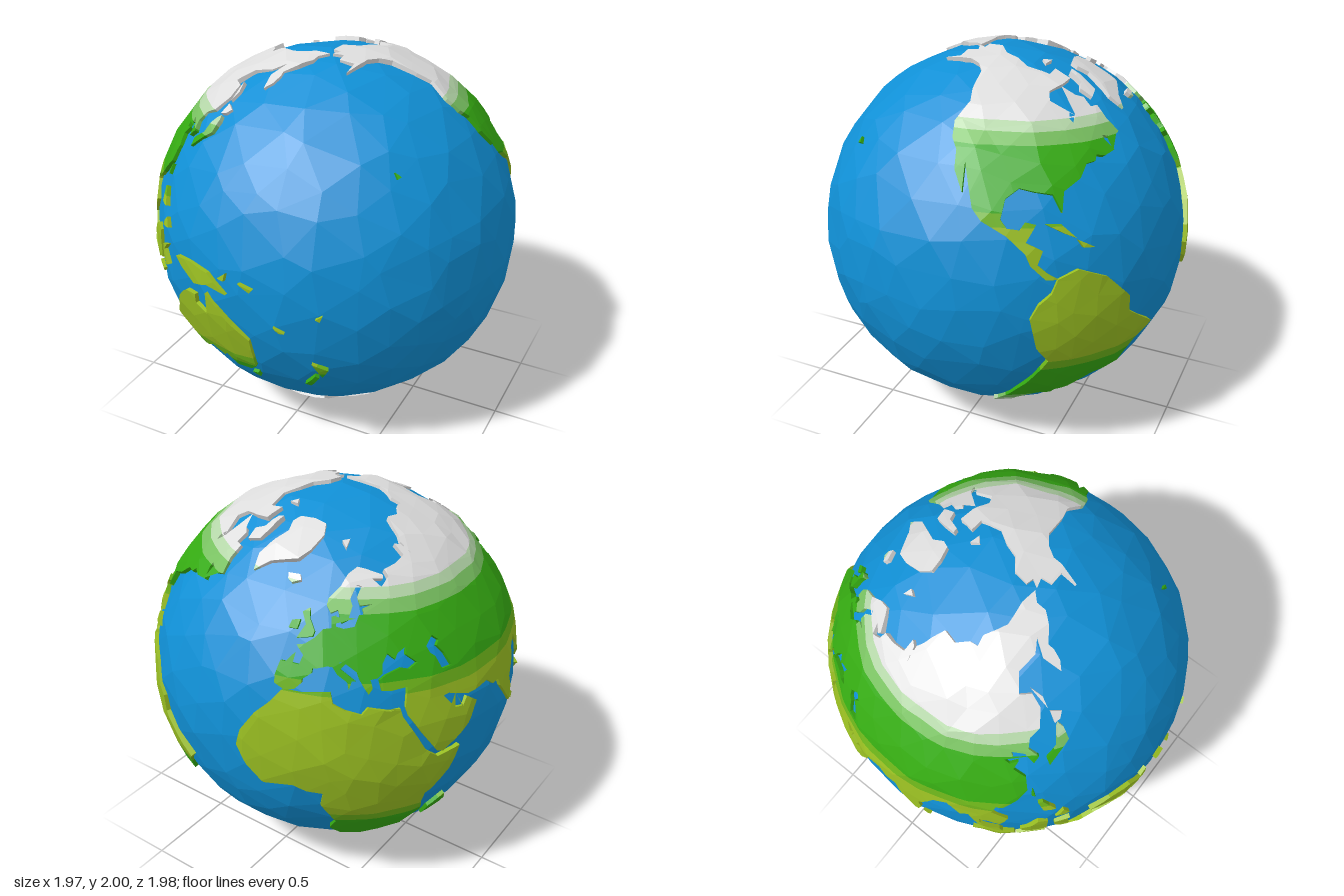
import * as THREE from 'three';

const V = (x, y, z) => new THREE.Vector3(x, y, z);
const mat = (name, color) => Object.assign(new THREE.MeshStandardMaterial({ color }), { name });
const ocean = mat('ocean blue', 0x1090d6);
const snow = mat('snow white', 0xdedede), frost = mat('frost green', 0xb4d6a8), pale = mat('pale green', 0x78c060);
const green = mat('meadow green', 0x35aa12), olive = mat('mid green', 0x6db41a), lime = mat('lime green', 0x9abf22);

// Colour bands by height, mirrored to the south
const landMats = [snow, frost, pale, green, olive, lime];
const edges = [-2, -0.77, -0.73, -0.68, -0.42, -0.36, 0.36, 0.42, 0.68, 0.73, 0.77, 2];
const bandAxis = V(-0.07, 1, 0);

// Tilted globe axes: pole, reference meridian (142.5 east) and its east
const pole = V(-0.2, 0.955, -0.22).normalize();
const east = pole.clone().cross(V(-0.277, 0.161, 0.945)).normalize();
const meridian = east.clone().cross(pole);
const rad = Math.PI / 180;
function direction(lon, lat) {
  const a = (lon - 142.5) * rad, c = Math.cos(lat * rad);
  return V(0, 0, 0).addScaledVector(pole, Math.sin(lat * rad))
    .addScaledVector(meridian, c * Math.cos(a)).addScaledVector(east, c * Math.sin(a));
}

// Coastlines as longitude, latitude pairs
const lands = {
  europe: [41.5, 42, 38, 45, 39, 47, 35, 46, 33.5, 44.5, 31, 46.5, 28.5, 44, 28, 41.5, 26, 40.5, 23.5, 40.3, 24, 38, 22.5, 36.5,
    21, 38.5, 19.5, 41, 19, 42.5, 14, 45.3, 12.5, 45.3, 13, 43.5, 16, 41.8, 18.5, 40.2, 17, 40.3, 16, 38, 15.5, 40, 12, 42, 10, 44,
    8, 44, 5, 43.3, 3, 43, 3, 41.8, 0, 39.8, 0, 38.7, -2, 36.8, -5.5, 36, -9, 37, -9.5, 39, -9, 43.2, -2, 43.4, -1.2, 46,
    -4.7, 48.3, -1.5, 49, 2, 51, 5, 53.5, 8.5, 54, 8, 57, 10.5, 57.5, 10.5, 54.5, 14, 54, 19, 54.5, 21.5, 57.5, 24, 57.5,
    23.5, 59.2, 29, 60, 33, 66.8, 37, 64, 40, 64.8, 44, 66, 44, 68.3, 54, 68.5, 66, 69, 60, 54, 51, 47, 47, 45, 47.5, 43, 49, 41.5],
  scandinavia: [29, 60, 22.5, 60, 21.5, 62.5, 25, 65.2, 22, 65.7, 17.5, 62, 18.5, 60, 16, 56.3, 13, 55.5, 11, 59, 7.5, 58,
    5, 60, 5.5, 62, 12, 65.5, 17, 69, 25, 71, 31, 70, 41, 67, 40, 66, 33, 66.8],
  northAsia: [66, 69, 69, 73, 73, 71.5, 72, 67, 75, 72, 81, 73.5, 88, 75.5, 104, 77.6, 113, 74, 127, 73, 131, 71, 140, 72.5,
    152, 71, 160, 69.7, 170, 69.5, 180, 68.8, 190, 66, 182, 65, 179, 62.3, 171, 60, 163, 58, 162.5, 56, 160, 53, 156.5, 51,
    156, 57, 163, 61.5, 155, 59.3, 143, 59.3, 136, 54.5, 141, 52.5, 140, 48, 135, 43.3, 130, 42.3, 127.5, 39.5, 129.3, 36,
    126.5, 34.5, 125.5, 38.5, 121.5, 40.7, 121.3, 39, 118, 39, 119, 37.2, 122.3, 37, 119.3, 35, 121.8, 31, 120, 26, 115, 22.7,
    110, 20.5, 108, 21.5, 54, 37, 53, 41, 51, 44, 53, 45, 51, 47, 60, 54],
  southAsia: [54, 37, 108, 21.5, 105.8, 19, 109, 13, 105, 8.7, 102.5, 12, 100, 13.4, 99.3, 10, 103.5, 4, 103.7, 1.4, 101.3, 3,
    98.3, 9, 97.5, 16.5, 94.5, 16, 92, 22, 87, 21.5, 80, 15.5, 80, 12, 77.5, 8, 73, 18, 72.5, 21, 69, 22, 66.5, 25.2, 57, 26.5,
    50, 30, 48, 30, 51, 25, 54, 24, 56.3, 26, 59.8, 22.5, 55, 17.5, 45, 12.8, 43, 14, 39, 21, 35, 28, 34.3, 31, 36, 36.5,
    30.5, 36.5, 27, 37, 26.5, 40, 29, 41, 35, 42, 38, 41, 41.5, 42, 49, 41.5, 50, 37.5],
  africa: [-6, 35.8, 0, 36, 10, 37.2, 11, 34, 15, 32.3, 20, 31, 22, 32.8, 29, 31, 32.5, 31, 33, 28.5, 37, 21, 39.5, 15.5,
    43.2, 11.7, 51, 11.8, 47.5, 4, 40, -3, 39.5, -8, 40.7, -15, 35, -20, 35.5, -24, 32.8, -26, 31, -30, 26, -34, 19, -34.7,
    17.5, -31, 14.5, -23, 12, -17, 13.7, -11, 9, -1, 9.5, 4, 5, 4.3, 1, 6, -7.5, 4.5, -13, 9, -17, 14.5, -16.5, 20, -13, 27, -9.5, 31],
  northAmerica: [-168, 65.5, -162, 66.5, -166, 68.3, -156, 71.2, -141, 69.8, -128, 70, -115, 68, -97, 68, -94, 71.8, -85, 69.5,
    -81, 68.5, -87, 64.5, -94, 60.5, -92.5, 57, -82, 55, -82, 52.8, -79.5, 51.5, -79, 54.5, -77, 57, -78, 62, -73, 62, -69.5, 59,
    -65, 60, -61.5, 56, -56, 52, -60, 50, -66, 50, -65, 48.5, -61, 46, -66, 43.8, -70, 43.5, -70.5, 41.7, -74, 40.5, -76, 36,
    -81, 31.5, -80.2, 26, -82.5, 28.5, -84, 30, -89.5, 29.5, -94.5, 29.3, -97.5, 25.5, -114.7, 31.7, -117.5, 33, -121, 35.5,
    -124, 40, -124, 47, -128, 51, -134, 58, -141, 60, -149, 60, -153, 58.5, -164, 54.7, -158, 58.5, -165, 61.5, -161, 64.3],
  centralAmerica: [-97.5, 25.5, -97, 20, -94.5, 18.2, -91, 18.7, -90, 21.2, -87, 21.3, -88.5, 16, -83.3, 15, -83.7, 11, -80, 9.2,
    -77, 8.3, -80.3, 7.5, -85.5, 10.3, -87.7, 13, -94, 16.2, -102, 18, -105.5, 20.3, -109, 25.5, -113, 31, -110, 23.2, -115, 28, -117.5, 33, -114.7, 31.7],
  southAmerica: [-77, 8.3, -72, 12, -62, 10.7, -52, 5, -50, 0, -44, -2.5, -35.2, -6, -39, -13, -40.5, -21, -48, -26, -53, -33.5,
    -57.5, -35, -57, -38, -62, -39, -65, -42, -67, -46, -66, -48, -69, -51, -66, -55, -71, -54.5, -75, -50, -73.5, -42, -71.5, -30,
    -70.3, -18.5, -76, -14, -81, -5, -80, 0, -77.5, 4],
  australia: [142.5, -10.7, 145.5, -15, 149, -20.5, 153.3, -26, 150, -37.3, 146, -39, 140.5, -38, 138, -33.5, 135.5, -34.8,
    131, -31.5, 124, -33, 118, -35, 115, -34, 113.7, -23, 122, -18, 126, -14, 130, -12, 132, -11.3, 136.8, -12, 135.7, -15, 140.5, -17.5],
  antarctica: [-58, -63.5, -61, -70, -62, -74, -45, -78, -30, -77, -12, -72, 10, -70, 35, -69, 55, -66.5, 70, -69, 90, -66.5,
    115, -66.5, 140, -67, 160, -70, 165, -78, -160, -78.5, -150, -76.5, -120, -74, -100, -73, -78, -73.5, -68, -70, -64, -66],
  greenland: [-73, 78.3, -60, 82, -33, 83.5, -18, 80, -20, 74, -24, 70, -40, 65, -44, 60, -51, 64, -53, 69, -56, 74, -68, 76],
  baffin: [-62, 66, -67, 62.5, -74, 65, -72, 68, -80, 72, -78, 73.5, -68, 70],
  arcticIsland: [-110, 75, -100, 76, -104, 73],
  svalbard: [12, 79.5, 24, 80, 17, 77],
  iceland: [-24, 65.5, -22, 64, -18.5, 63.4, -13.7, 65, -16, 66.4],
  britain: [-5.5, 50, 1, 51.2, 1.5, 52.7, -2, 56, -3, 58.6, -6, 57, -3, 54],
  ireland: [-10, 52, -6.3, 52.3, -6, 55, -9.5, 54.2],
  madagascar: [49.3, -12, 50.3, -16, 47, -25, 44, -24, 44.3, -17],
  sriLanka: [80, 9.5, 81.7, 7, 80.3, 6],
  newGuinea: [131, -0.9, 138, -1.7, 145, -4.3, 150.5, -10.5, 144, -8, 138, -8.3, 133, -4],
  borneo: [109.2, 1.5, 116.5, 7, 119, 5, 116, -4, 110.2, -3],
  sumatra: [95.5, 5.5, 98.5, 3.7, 106, -3, 105.5, -5.8, 101, -2.5],
  java: [105.5, -6.8, 110, -6.4, 114.5, -7.8, 114, -8.7, 106.5, -7.5],
  sulawesi: [120, 1, 125, 1.5, 121, -0.5, 123, -5, 120, -5.5, 119, -2.5],
  luzon: [120.5, 18.5, 122, 18.3, 124, 12.7, 120.5, 14],
  mindanao: [122, 7, 125.5, 9.7, 126.3, 6.5],
  taiwan: [121.5, 25.2, 120.2, 23, 121, 22],
  honshu: [131, 34, 136, 35.7, 140, 40.5, 141.5, 41.3, 142, 39.5, 140.7, 35.5, 135.5, 33.6, 130.5, 31.3],
  hokkaido: [140.5, 42, 142, 45.5, 145.3, 43.3, 143, 42],
  sakhalin: [142, 46.5, 142, 54, 143.5, 50],
  tasmania: [145, -41, 148, -41, 147, -43.5],
  southernIslandNorth: [173, -34.7, 178.3, -37.8, 175.3, -41.5, 174.5, -39],
  southernIslandSouth: [172.7, -40.6, 174, -41.7, 169, -46.6, 166.7, -45.8],
  newBritain: [149, -5.5, 152, -4, 151, -6.3],
  solomons: [156, -6.5, 160, -8.5, 159, -9.3],
  newCaledonia: [164, -20, 167, -22.3, 165.5, -22],
  fiji: [177.3, -17.5, 179.5, -16.5, 178.5, -18.3],
  hawaii: [-156.5, 21, -154.8, 19.5, -156, 19],
  cuba: [-84.5, 22, -80, 23, -74.5, 20.2, -78, 20.7],
  hispaniola: [-74, 19.8, -68.5, 18.6, -72, 18],
};

// Ball of irregular triangles; equal corners move alike
function roughBall(detail, radius, relief, shift) {
  const geo = new THREE.IcosahedronGeometry(1, detail), pos = geo.attributes.position, p = V();
  for (let i = 0; i < pos.count; i++) {
    p.fromBufferAttribute(pos, i).normalize();
    const k = p.toArray().map((c) => Math.round(c * 1000));
    const hash = (s) => { const h = Math.sin(k[0] * 12.9898 + k[1] * 78.233 + k[2] * 37.719 + s) * 43758.5; return h - Math.floor(h); };
    p.add(V(hash(1) - 0.5, hash(2) - 0.5, hash(3) - 0.5).multiplyScalar(shift)).setLength(radius + relief * hash(4));
    pos.setXYZ(i, p.x, p.y, p.z);
  }
  geo.computeVertexNormals();
  return geo;
}

// Keep the part of a polygon where n.p >= d
function clip(poly, { n, d }) {
  const out = [];
  poly.forEach((p, i) => {
    const q = poly[(i + 1) % poly.length], a = n.dot(p) - d, b = n.dot(q) - d;
    if (a >= 0) out.push(p);
    if ((a >= 0) !== (b >= 0)) out.push(p.clone().lerp(q, a / (a - b)));
  });
  return out;
}

// Raised land plate: coastline cut by ball facets and colour bands, with walls on the coast
function landMesh(name, coords, facets) {
  let coast = [];
  for (let i = 0; i < coords.length; i += 2) coast.push(direction(coords[i], coords[i + 1]));
  const turn = V(), mid = V();
  coast.forEach((p, i) => { turn.add(p.clone().cross(coast[(i + 1) % coast.length])); mid.add(p); });
  if (turn.dot(mid) < 0) coast.reverse();

  const buckets = landMats.map(() => []);
  for (const { corners: [a], cone, m } of facets) {
    let piece = coast;
    for (const plane of cone) piece = clip(piece, plane);
    if (piece.length < 3) continue;
    const flat = piece.map((p) => p.clone().multiplyScalar(m.dot(a) / m.dot(p)));
    const u = V(0.31, 0.52, 0.79).cross(m).normalize(), w = m.clone().cross(u);
    for (let s = 0; s < edges.length - 1; s++) {
      const lo = { n: bandAxis, d: edges[s] }, hi = { n: bandAxis.clone().negate(), d: -edges[s + 1] };
      const part = clip(clip(flat, lo), hi);
      if (part.length < 3) continue;
      const bucket = buckets[Math.min(s, 10 - s)];
      const push = (...pts) => pts.forEach((p) => bucket.push(p.x, p.y, p.z));
      for (const t of THREE.ShapeUtils.triangulateShape(part.map((p) => new THREE.Vector2(p.dot(u), p.dot(w))), [])) {
        const [A, B, C] = t.map((i) => part[i]);
        const area = B.clone().sub(A).cross(C.clone().sub(A)).dot(m);
        if (Math.abs(area) > 1e-8) area > 0 ? push(A, B, C) : push(A, C, B);
      }
      part.forEach((p, i) => {
        const q = part[(i + 1) % part.length];
        const inner = [...cone, lo, hi].some(({ n, d }) => Math.abs(n.dot(p) - d) + Math.abs(n.dot(q) - d) < 1e-6);
        if (inner || p.distanceTo(q) < 1e-6) return;
        const p0 = p.clone().setLength(0.955), q0 = q.clone().setLength(0.955);
        push(p, p0, q0, p, q0, q);
      });
    }
  }
  const geo = new THREE.BufferGeometry();
  geo.setAttribute('position', new THREE.Float32BufferAttribute(buckets.flat(), 3));
  let start = 0;
  buckets.forEach((b, i) => { if (b.length) geo.addGroup(start, b.length / 3, i); start += b.length / 3; });
  geo.computeVertexNormals();
  return Object.assign(new THREE.Mesh(geo, landMats), { name });
}

export function createModel() {
  const globe = new THREE.Group();
  globe.name = 'globe';
  globe.position.y = 1;
  globe.add(Object.assign(new THREE.Mesh(roughBall(5, 0.976, 0.009, 0.1), ocean), { name: 'ocean' }));

  // Facets that shape the land surface
  const pos = roughBall(7, 0.991, 0.014, 0.07).attributes.position, facets = [];
  for (let i = 0; i < pos.count; i += 3) {
    const corners = [0, 1, 2].map((j) => V().fromBufferAttribute(pos, i + j)), [a, b, c] = corners;
    const cone = corners.map((p, j) => ({ n: p.clone().cross(corners[(j + 1) % 3]).normalize(), d: 0 }));
    facets.push({ corners, cone, m: b.clone().sub(a).cross(c.clone().sub(a)).normalize() });
  }
  for (const [name, coords] of Object.entries(lands)) globe.add(landMesh(name, coords, facets));

  const model = new THREE.Group();
  model.name = 'earthGlobe';
  model.add(globe);
  return model;
}
